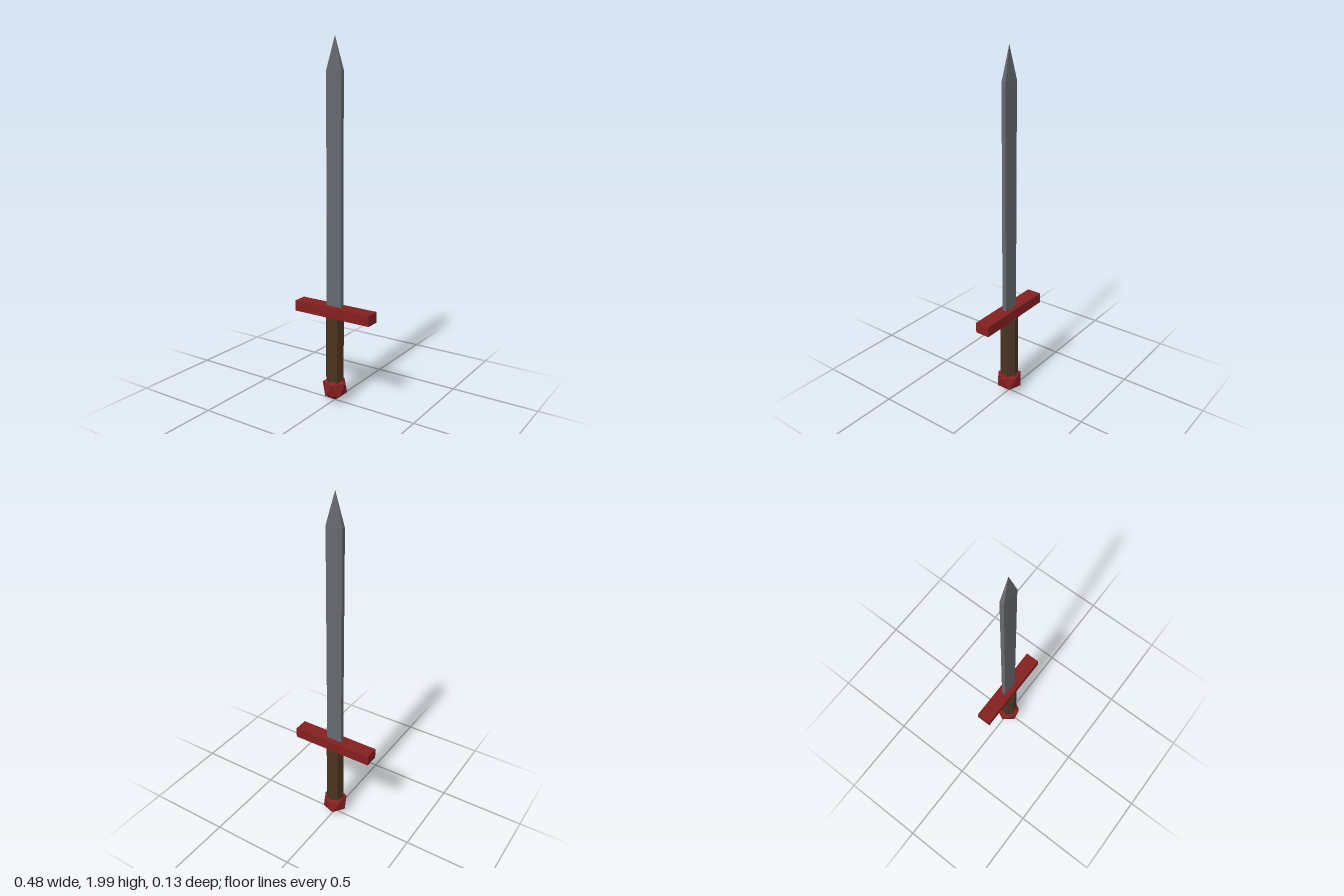
import * as THREE from 'three';

const mat = (name, color) => {
  const m = new THREE.MeshStandardMaterial({ color });
  m.name = name;
  return m;
};

export function createModel() {
  const steel = mat('steel grey', 0x65686e);
  const red = mat('dark red', 0x852020);
  const brown = mat('grip brown', 0x4c3420);

  const sword = new THREE.Group();
  sword.name = 'sword';
  const add = (parent, name, geometry, material, y) => {
    const mesh = new THREE.Mesh(geometry, material);
    mesh.name = name;
    mesh.position.y = y;
    parent.add(mesh);
    return mesh;
  };

  // Pommel: faceted ball standing on one corner, another corner towards +x
  const ball = new THREE.IcosahedronGeometry(0.077, 0);
  ball.rotateX(-Math.atan((1 + Math.sqrt(5)) / 2));
  ball.rotateY(Math.PI / 2);
  add(sword, 'pommel', ball, red, 0.083);

  // Grip: six flat sides, turned slightly off the axis
  const grip = new THREE.CylinderGeometry(0.051, 0.051, 0.42, 6, 1, false, THREE.MathUtils.degToRad(-12)).toNonIndexed();
  grip.computeVertexNormals();
  add(sword, 'grip', grip, brown, 0.29);

  // Crossguard
  add(sword, 'crossguard', new THREE.BoxGeometry(0.484, 0.06, 0.084), red, 0.53);

  // Blade: flat bar ending in a four-sided point
  const halfW = 0.047, halfD = 0.012, base = 0.55, shoulder = 1.825, top = 2;
  const blade = new THREE.Group();
  blade.name = 'blade';
  sword.add(blade);
  add(blade, 'bladeBar', new THREE.BoxGeometry(halfW * 2, shoulder - base, halfD * 2), steel, (base + shoulder) / 2);

  const tip = new THREE.ConeGeometry(Math.SQRT2, top - shoulder, 4, 1, true, Math.PI / 4).toNonIndexed();
  tip.scale(halfW, 1, halfD);
  tip.computeVertexNormals();
  add(blade, 'bladeTip', tip, steel, (shoulder + top) / 2);

  return sword;
}
